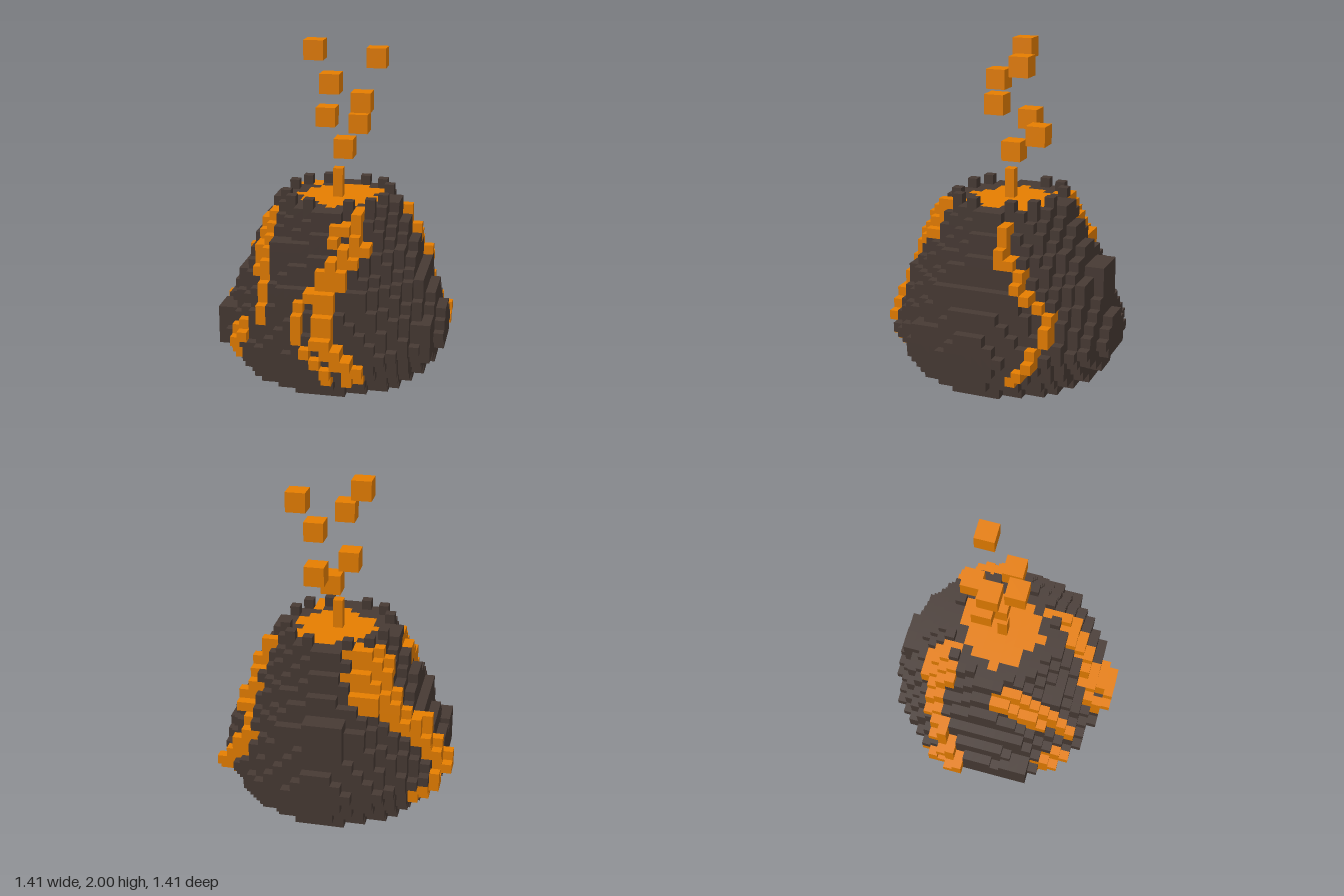
import * as THREE from 'three';

const V = 2 / 34; // voxel edge

// Cone radius in voxels for each layer, bottom to top
const RADII = [
  9.4, 10.1, 10.7, 11.2, 11.67, 11.4, 11.05, 10.7, 10.3,
  9.98, 9.86, 8.95, 8.6, 8.15, 7.6, 7.1, 6.7, 6.2,
];

// Lava streams: layer -> columns, counted across the face they run down
const FRONT_STREAM = {
  2: [1, 3, 4], 3: [1, 3, 4], 4: [0, 2, 3], 5: [-1, 1, 2], 6: [-2, 0, 1], 7: [-2, 0, 1],
  8: [-2, 0, 1], 9: [-2, 0, 1], 10: [-1, 0, 1], 11: [0, 1, 2], 12: [0, 1, 2],
  13: [1, 2, 3], 14: [2, 3, 4], 15: [1, 3], 16: [1, 2, 3], 17: [3],
};
const FRONT_SIDE_STREAM = {
  2: [-10, -9], 3: [-9], 4: [-9], 5: [-9, -8], 6: [-8], 7: [-6], 8: [-6], 9: [-6],
  10: [-6], 11: [-7, -6], 12: [-7, -6], 13: [-7, -6], 14: [-7, -6], 15: [-7, -6], 16: [-6],
};
const RIGHT_STREAM = {
  2: [-6, -5, -4], 3: [-6, -5, -4], 4: [-5, -3, -2], 5: [-3, -2], 6: [-4, -3], 7: [-4, -3],
  8: [-5, -4], 9: [-5, -4], 10: [-6, -5, -4], 11: [-6, -5], 12: [-7, -6, -5],
  13: [-7, -6, -5], 14: [-6, -5], 15: [-6, -5, -4], 16: [-5, -4], 17: [-5, -4],
};
const LEFT_STREAM = {
  2: [-4], 3: [-5], 4: [-6], 5: [-6], 6: [-7], 7: [-7], 8: [-7], 9: [-6], 10: [-5],
  11: [-4], 12: [-4], 13: [-3, -2], 14: [-2], 15: [-2], 16: [-2],
};

// Crater lake rows: z, first x, last x
const LAKE = [
  [-4, 0, 2], [-3, -2, 4], [-2, -3, 4], [-1, -3, 3], [0, -4, 4],
  [1, -3, 4], [2, -3, 3], [3, -1, 2], [4, 0, 0],
];

// Rock outcrops: x range, y range, z range
const ROCKS = [
  [-11, -9, 3, 6, 3, 5], [-5, -3, 12, 14, 5, 7],
  [-2, 1, 8, 11, -10, -8], [8, 10, 3, 6, 4, 6],
];

// Flying lava blobs: centre x, y, z
const BLOBS = [
  [-0.12, 1.94, -0.06], [0.235, 1.885, -0.175], [0, 1.765, 0.06], [0.175, 1.65, 0],
  [-0.06, 1.53, -0.118], [0.118, 1.47, -0.235], [0.06, 1.355, -0.06],
];

function fillCells() {
  const cells = new Map();
  const put = (x, y, z, kind) => cells.set(`${x},${y},${z}`, { p: [x, y, z], kind });
  const box = ([x0, x1, y0, y1, z0, z1], kind) => {
    for (let x = x0; x <= x1; x++)
      for (let y = y0; y <= y1; y++)
        for (let z = z0; z <= z1; z++) put(x, y, z, kind);
  };

  // stacked discs of the cone
  RADII.forEach((r, y) => {
    const n = Math.floor(r);
    for (let x = -n; x <= n; x++)
      for (let z = -n; z <= n; z++)
        if (x * x + z * z <= r * r) put(x, y, z, 'rock');
  });
  ROCKS.forEach((b) => box(b, 'rock'));

  // teeth around the rim
  for (const sx of [-1, 1])
    for (const sz of [-1, 1])
      for (const [x, z] of [[5, 2], [2, 5], [4, 4]]) put(sx * x, 18, sz * z, 'rock');

  // streams stand one voxel out of the cone and reach two into it
  const stream = (rows, place) => {
    for (const key of Object.keys(rows)) {
      const y = Number(key);
      for (const c of rows[key]) {
        const depth = Math.floor(Math.sqrt(Math.max(0, RADII[y] ** 2 - c * c))) + 1;
        for (let d = Math.max(1, depth - 2); d <= depth; d++) put(...place(c, y, d), 'lava');
      }
    }
  };
  stream(FRONT_STREAM, (c, y, d) => [c, y, d]);
  stream(FRONT_SIDE_STREAM, (c, y, d) => [c, y, d]);
  stream(RIGHT_STREAM, (c, y, d) => [-d, y, c]);
  stream(LEFT_STREAM, (c, y, d) => [d, y, c]);

  // crater lake and central jet
  LAKE.forEach(([z, x0, x1]) => box([x0, x1, 17, 17, z, z], 'lava'));
  box([0, 0, 18, 20, 0, 0], 'lava');
  return cells;
}

// Exposed faces of all voxels of one kind
function voxelGeometry(cells, kind) {
  const pos = [], nor = [], idx = [];
  const quad = [[-1, -1], [1, -1], [1, 1], [-1, 1]];
  for (const cell of cells.values()) {
    if (cell.kind !== kind) continue;
    const [x, y, z] = cell.p;
    const centre = [(x + 0.5) * V, (y + 0.5) * V, (z - 0.5) * V];
    for (let a = 0; a < 3; a++)
      for (const s of [-1, 1]) {
        const next = [...cell.p];
        next[a] += s;
        if (cells.has(next.join(','))) continue;
        const n = [0, 0, 0];
        n[a] = s;
        const base = pos.length / 3;
        for (const [u, v] of quad) {
          const p = [...centre];
          p[a] += s * V / 2;
          p[(a + 1) % 3] += u * s * V / 2;
          p[(a + 2) % 3] += v * V / 2;
          pos.push(...p);
          nor.push(...n);
        }
        idx.push(base, base + 1, base + 2, base, base + 2, base + 3);
      }
  }
  const g = new THREE.BufferGeometry();
  g.setAttribute('position', new THREE.Float32BufferAttribute(pos, 3));
  g.setAttribute('normal', new THREE.Float32BufferAttribute(nor, 3));
  g.setIndex(idx);
  return g;
}

export function createModel() {
  const group = new THREE.Group();
  group.name = 'volcano';
  const rock = new THREE.MeshStandardMaterial({ color: 0x473a34 });
  rock.name = 'dark rock';
  const lava = new THREE.MeshStandardMaterial({ color: 0xe67e00 });
  lava.name = 'orange lava';

  const add = (name, geometry, material) => {
    const mesh = new THREE.Mesh(geometry, material);
    mesh.name = name;
    group.add(mesh);
    return mesh;
  };

  const cells = fillCells();
  add('cone', voxelGeometry(cells, 'rock'), rock);
  add('lavaFlow', voxelGeometry(cells, 'lava'), lava);

  const blob = new THREE.BoxGeometry(2 * V, 2 * V, 2 * V);
  BLOBS.forEach((p) => add('lavaBlob', blob, lava).position.set(...p));
  return group;
}
